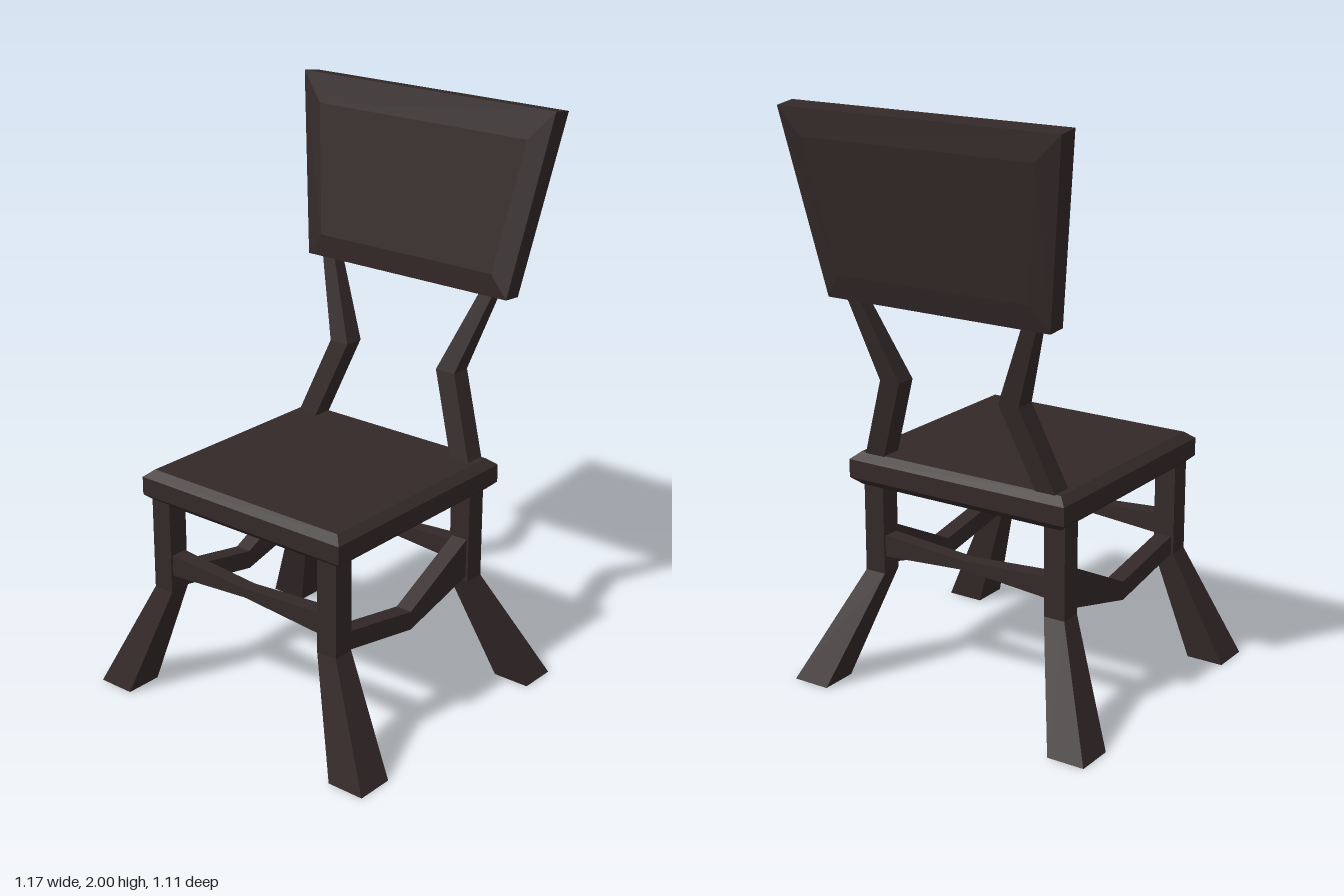
import * as THREE from 'three';

const darkWood = new THREE.MeshStandardMaterial({ color: 0x332828 });

// Skin four-cornered sections (counter-clockwise seen along the sweep) and cap both ends.
function loft(name, rings) {
  const pos = [];
  const quad = (a, b, c, d) => [a, b, c, a, c, d].forEach(p => pos.push(...p));
  for (let i = 0; i < rings.length - 1; i++) {
    for (let j = 0; j < 4; j++) {
      const k = (j + 1) % 4;
      quad(rings[i][j], rings[i][k], rings[i + 1][k], rings[i + 1][j]);
    }
  }
  const first = rings[0], last = rings[rings.length - 1];
  quad(first[3], first[2], first[1], first[0]);
  quad(...last);
  const geo = new THREE.BufferGeometry();
  geo.setAttribute('position', new THREE.Float32BufferAttribute(pos, 3));
  geo.computeVertexNormals();
  const mesh = new THREE.Mesh(geo, darkWood);
  mesh.name = name;
  return mesh;
}

// Rectangular sections given by centre and full size, one for each sweep axis.
function alongY(y, cx, cz, w, d) {
  return [[-1, -1], [-1, 1], [1, 1], [1, -1]].map(([a, b]) => [cx + a * w / 2, y, cz + b * d / 2]);
}
function alongX(x, cy, cz, h, d) {
  return [[-1, -1], [1, -1], [1, 1], [-1, 1]].map(([a, b]) => [x, cy + a * h / 2, cz + b * d / 2]);
}
function alongZ(z, cx, cy, w, h) {
  return [[-1, -1], [1, -1], [1, 1], [-1, 1]].map(([a, b]) => [cx + a * w / 2, cy + b * h / 2, z]);
}

// Tapered panel outline: bottom and top edges, each with half width, height and depth.
function panelRing(hb, yb, zb, ht, yt, zt) {
  return [[-hb, yb, zb], [hb, yb, zb], [ht, yt, zt], [-ht, yt, zt]];
}

export function createModel() {
  const chair = new THREE.Group();
  chair.name = 'chair';

  // Seat slab with bevelled rims
  chair.add(loft('seat', [
    alongY(0.705, 0, 0.055, 0.79, 0.785),
    alongY(0.732, 0, 0.055, 0.85, 0.845),
    alongY(0.795, 0, 0.055, 0.85, 0.845),
    alongY(0.82, 0, 0.055, 0.79, 0.785),
  ]));

  // Backrest panel, swollen slightly on both faces
  chair.add(loft('backrest', [
    panelRing(0.365, 1.455, -0.475, 0.435, 1.9, -0.553),
    panelRing(0.425, 1.37, -0.45, 0.525, 1.99, -0.553),
    panelRing(0.425, 1.375, -0.382, 0.525, 2.0, -0.48),
    panelRing(0.365, 1.455, -0.378, 0.435, 1.9, -0.455),
  ]));

  for (const s of [1, -1]) {
    const side = s > 0 ? 'left' : 'right';

    // Legs: straight to the knee, then splayed and flared
    chair.add(loft(side + 'FrontLeg', [
      alongY(0, s * 0.517, 0.488, 0.135, 0.135),
      alongY(0.39, s * 0.361, 0.422, 0.078, 0.076),
      alongY(0.72, s * 0.361, 0.422, 0.078, 0.076),
    ]));
    chair.add(loft(side + 'BackLeg', [
      alongY(0, s * 0.517, -0.427, 0.135, 0.135),
      alongY(0.39, s * 0.361, -0.283, 0.078, 0.076),
      alongY(0.72, s * 0.361, -0.283, 0.078, 0.076),
    ]));

    // Back posts, kinked inward
    chair.add(loft(side + 'BackPost', [
      alongY(0.79, s * 0.348, -0.297, 0.076, 0.076),
      alongY(1.1, s * 0.232, -0.353, 0.076, 0.074),
      alongY(1.42, s * 0.355, -0.42, 0.05, 0.042),
    ]));

    // Side stretchers, dipping in the middle
    chair.add(loft(side + 'Stretcher', [
      alongZ(-0.25, s * 0.361, 0.48, 0.06, 0.14),
      alongZ(0.06, s * 0.361, 0.362, 0.06, 0.066),
      alongZ(0.39, s * 0.361, 0.422, 0.06, 0.066),
    ]));
  }

  // Front and back stretchers, pinched in the middle
  for (const [name, z] of [['frontStretcher', 0.422], ['backStretcher', -0.283]]) {
    chair.add(loft(name, [
      alongX(-0.33, 0.488, z, 0.075, 0.06),
      alongX(0, 0.488, z, 0.032, 0.05),
      alongX(0.33, 0.488, z, 0.075, 0.06),
    ]));
  }

  return chair;
}
